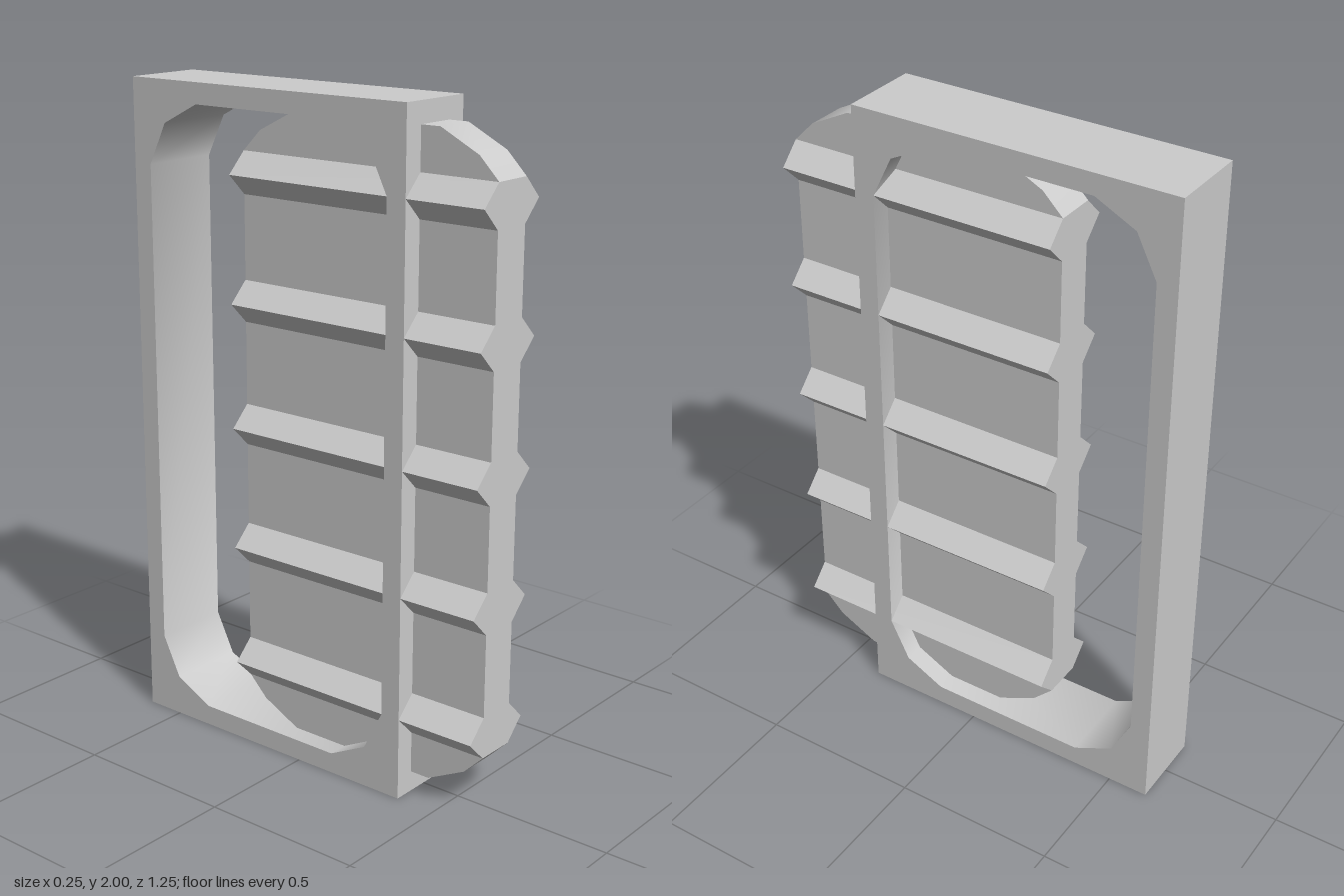
import * as THREE from 'three';
import { toCreasedNormals } from 'three/addons/utils/BufferGeometryUtils.js';

const material = new THREE.MeshStandardMaterial({ color: 0xcccccc, side: THREE.DoubleSide });

// Rectangle outline with two-step bevelled corners; steps are [inset z, inset y] from the corner
function bevelledPoints(z0, z1, y0, y1, steps) {
  const back = [...steps].reverse();
  return [
    ...steps.map(([a, b]) => [z1 - a, y1 - b]),
    ...back.map(([a, b]) => [z0 + a, y1 - b]),
    ...steps.map(([a, b]) => [z0 + a, y0 + b]),
    ...back.map(([a, b]) => [z1 - a, y0 + b]),
  ].map(([z, y]) => new THREE.Vector2(z, y));
}

// Extrude a side profile (z, y) across x, centred on x = 0
function sideExtrude(name, shape, width) {
  const geo = new THREE.ExtrudeGeometry(shape, { depth: width, bevelEnabled: false });
  geo.translate(0, 0, -width / 2);
  geo.rotateY(-Math.PI / 2);
  const mesh = new THREE.Mesh(toCreasedNormals(geo, 0.7), material);
  mesh.name = name;
  return mesh;
}

export function createModel() {
  const model = new THREE.Group();
  model.name = 'slidingPanelFrame';

  // Outer frame with a bevelled opening
  const frame = new THREE.Shape([[-0.625, 0], [0.375, 0], [0.375, 2], [-0.625, 2]]
    .map(([z, y]) => new THREE.Vector2(z, y)));
  frame.holes.push(new THREE.Path(bevelledPoints(-0.5625, 0.3125, 0.0625, 1.9375,
    [[0, 0.1875], [0.0625, 0.0625], [0.1875, 0]])));
  model.add(sideExtrude('frame', frame, 0.25));

  // Panel passing through the front bar of the frame
  const panel = new THREE.Shape(bevelledPoints(-0.25, 0.625, 0.0625, 1.9375,
    [[0, 0.125], [0.0625, 0.0625], [0.1875, 0]]));
  model.add(sideExtrude('panel', panel, 0.125));

  // Triangular ribs on both faces of the panel
  const ribs = new THREE.Group();
  ribs.name = 'ribs';
  for (const side of [-1, 1]) {
    const section = new THREE.Shape([[0.0625, -0.0625], [0.125, 0], [0.0625, 0.0625]]
      .map(([x, y]) => new THREE.Vector2(side * x, y)));
    const geo = new THREE.ExtrudeGeometry(section, { depth: 0.875, bevelEnabled: false });
    for (let i = 0; i < 5; i++) {
      const rib = new THREE.Mesh(geo, material);
      rib.name = side > 0 ? 'leftRib' : 'rightRib';
      rib.position.set(0, 0.25 + i * 0.375, -0.25);
      ribs.add(rib);
    }
  }
  model.add(ribs);
  return model;
}
